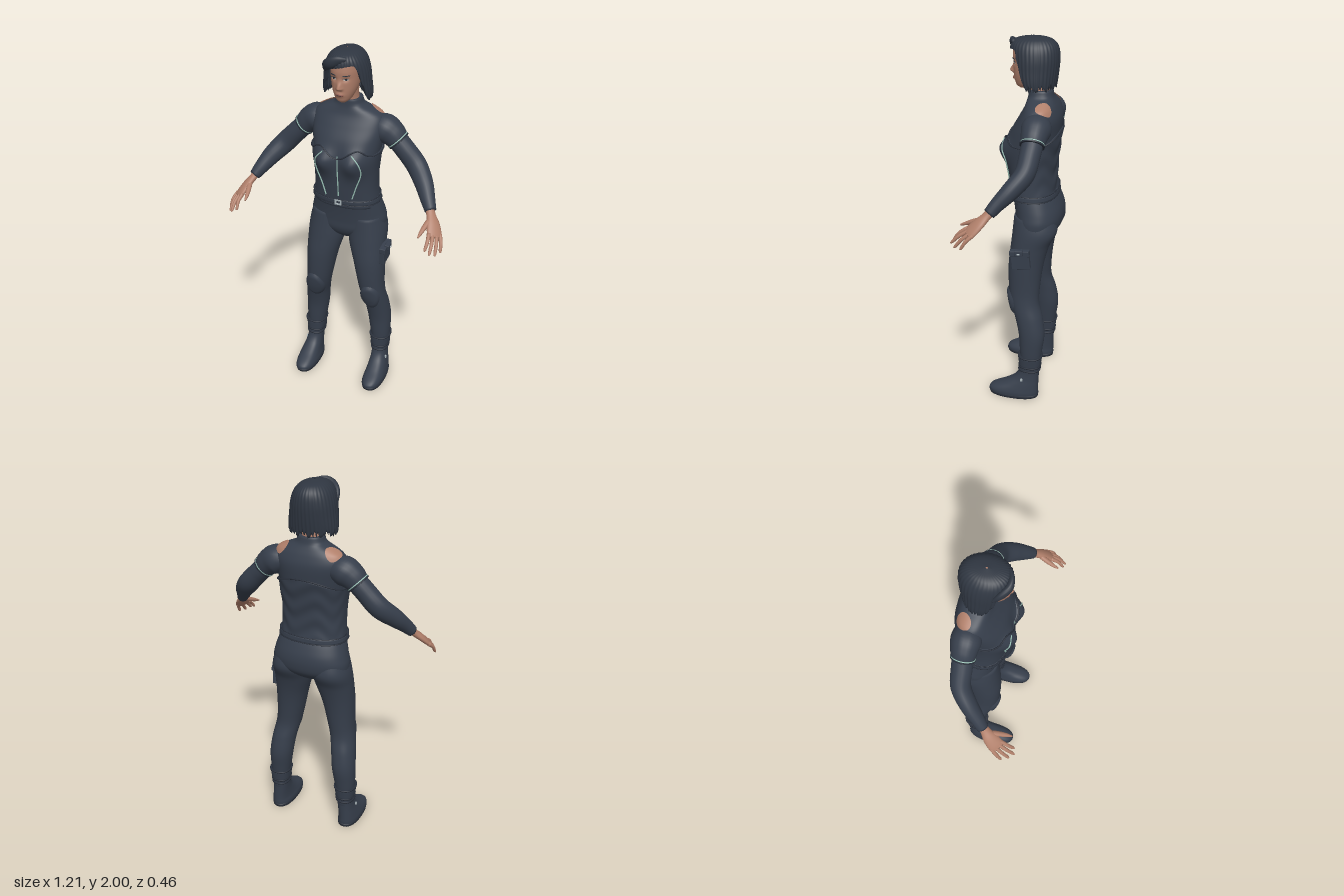
import * as THREE from 'three';
import { RoundedBoxGeometry } from 'three/addons/geometries/RoundedBoxGeometry.js';

const V = (x, y, z) => new THREE.Vector3(x, y, z);
const material = (name, color, side = THREE.DoubleSide) => {
  const m = new THREE.MeshStandardMaterial({ color, side });
  m.name = name;
  return m;
};

// Smooth interpolation through rows keyed by their first number
function sample(rows, t) {
  const last = rows.length - 1;
  t = Math.min(Math.max(t, rows[0][0]), rows[last][0]);
  let i = 0;
  while (i < last - 1 && t > rows[i + 1][0]) i++;
  const h = rows[i + 1][0] - rows[i][0], s = (t - rows[i][0]) / h;
  const slope = (k, c) => {
    const a = rows[Math.max(k - 1, 0)], b = rows[Math.min(k + 1, last)];
    return (b[c] - a[c]) / (b[0] - a[0]);
  };
  return rows[i].slice(1).map((p, k) => {
    const q = rows[i + 1][k + 1], s2 = s * s, s3 = s2 * s;
    return (2 * s3 - 3 * s2 + 1) * p + (s3 - 2 * s2 + s) * h * slope(i, k + 1)
      + (3 * s2 - 2 * s3) * q + (s3 - s2) * h * slope(i + 1, k + 1);
  });
}

// Grid closed around u; v runs from 0 to nv
function grid(nu, nv, fn) {
  const pos = [], idx = [];
  for (let j = 0; j <= nv; j++) for (let i = 0; i < nu; i++) {
    const p = fn((i / nu) * Math.PI * 2, j);
    pos.push(p.x, p.y, p.z);
    if (j === nv) continue;
    const a = j * nu + i, b = j * nu + (i + 1) % nu;
    idx.push(a, b, b + nu, a, b + nu, a + nu);
  }
  const g = new THREE.BufferGeometry();
  g.setAttribute('position', new THREE.Float32BufferAttribute(pos, 3));
  g.setIndex(idx);
  g.computeVertexNormals();
  return g;
}

// Body surface from rows [y, x0, x1, zFront, zBack]; angle 0 is the front
function surface(rows, e = 1, bump = null) {
  const pw = v => Math.sign(v) * Math.abs(v) ** e;
  const f = (y, th, off = 0) => {
    const [x0, x1, zf, zb] = sample(rows, y), c = Math.cos(th);
    const x = (x0 + x1) / 2 + ((x1 - x0) / 2 + off) * pw(Math.sin(th));
    let z = (zf + zb) / 2 + ((zf - zb) / 2 + off) * pw(c);
    if (bump) z += bump(x, y) * Math.min(1, Math.max(0, c * 3));
    return V(x, y, z);
  };
  f.theta = (x, y) => {
    const [x0, x1] = sample(rows, y);
    const q = Math.min(1, Math.max(-1, (x - (x0 + x1) / 2) / ((x1 - x0) / 2)));
    return Math.asin(Math.sign(q) * Math.abs(q) ** (1 / e));
  };
  return f;
}
const centred = rows => rows.map(([y, r, f, b]) => [y, -r, r, f, b]);

// Capped solid between two heights of a surface
function solid(f, y0, y1, nu = 40, nv = 30, off = 0) {
  return grid(nu, nv + 4, (th, j) => {
    const k = Math.min(Math.max(j - 2, 0), nv), y = y0 + ((y1 - y0) * k) / nv;
    const edge = Math.min(j, nv + 4 - j), p = f(y, th, off);
    const mid = f(y, 0).add(f(y, Math.PI)).multiplyScalar(0.5);
    return mid.lerp(p, edge === 0 ? 0 : edge === 1 ? 0.95 : 1);
  });
}

// Thin oval plate lying on the front of a surface
function patch(f, x, y, rx, ry, off) {
  return grid(28, 8, (a, j) => {
    const r = 1 - j / 8, X = x + rx * r * Math.cos(a), Y = y + ry * r * Math.sin(a);
    return f(Y, f.theta(X, Y), 0.0015 + off * Math.min(1, (1 - r) * 5));
  });
}

// Oval limb along rows [x, y, z, wide radius, thin radius]
function limb(rows, wide = V(0, 0, 1), nu = 20, per = 6) {
  const keyed = rows.map((r, i) => [i, ...r]), end = rows.length - 1, nv = end * per;
  const at = t => V(...sample(keyed, t).slice(0, 3));
  return grid(nu, nv + 2, (th, j) => {
    const t = (Math.min(Math.max(j - 1, 0), nv) / nv) * end;
    const [x, y, z, ra, rb] = sample(keyed, t), cap = j === 0 || j === nv + 2 ? 0 : 1;
    const T = at(Math.min(t + 0.05, end)).sub(at(Math.max(t - 0.05, 0))).normalize();
    const A = wide.clone().addScaledVector(T, -wide.dot(T)).normalize(), B = T.clone().cross(A);
    return V(x, y, z).addScaledVector(A, ra * Math.cos(th) * cap).addScaledVector(B, rb * Math.sin(th) * cap);
  });
}

function mirror(g) {
  const m = g.clone(), a = m.index.array;
  m.scale(-1, 1, 1);
  for (let i = 0; i < a.length; i += 3) [a[i], a[i + 1]] = [a[i + 1], a[i]];
  return m;
}

export function createModel() {
  const root = new THREE.Group();
  const cloth = material('slate cloth', 0x363e4b), seam = material('dark seam', 0x2a303b);
  const hairMat = material('dark hair', 0x2f3641), skin = material('skin', 0xb07f6a);
  const lip = material('lips', 0x935e51), white = material('eye white', 0xc9beb5);
  const trim = material('pale green trim', 0x9cc4b8), metal = material('buckle metal', 0xa9b4b8);
  const add = (name, g, m) => {
    const mesh = new THREE.Mesh(g, m);
    mesh.name = name;
    root.add(mesh);
    return mesh;
  };
  const pair = (name, g, m) => { add(name + 'Left', g, m); add(name + 'Right', mirror(g), m); };
  const gauss = (d, w) => Math.exp(-(d * d) / (w * w));

  // Torso with high collar
  const torsoRows = centred([[1.15, 0.178, 0.04, -0.19], [1.2, 0.172, 0.045, -0.185], [1.27, 0.166, 0.052, -0.18],
    [1.36, 0.168, 0.058, -0.183], [1.45, 0.178, 0.06, -0.193], [1.53, 0.188, 0.045, -0.203], [1.6, 0.195, 0.008, -0.205],
    [1.65, 0.18, -0.02, -0.19], [1.68, 0.132, -0.03, -0.175], [1.7, 0.082, -0.034, -0.165], [1.735, 0.066, -0.036, -0.158]]);
  const torso = surface(torsoRows, 0.86,
    (x, y) => 0.045 * gauss(Math.abs(x) - 0.085, 0.06) * gauss(y - 1.43, y > 1.43 ? 0.06 : 0.075));
  add('torso', solid(torso, 1.15, 1.735, 64, 60), cloth);

  // Corset with a sweetheart top edge and gathered back
  const corsetTop = th => {
    const a = Math.abs(Math.atan2(Math.sin(th), Math.cos(th)));
    return 1.47 + 0.035 * gauss(a - 0.5, 0.3) - 0.02 * gauss(a, 0.2) + 0.06 * gauss(a - Math.PI, 0.9);
  };
  add('corset', grid(96, 32, (th, j) => {
    const y = 1.2 + (corsetTop(th) - 1.2) * Math.min(1, j / 30), back = Math.max(0, -Math.cos(th));
    return torso(y, th, j > 30 ? 0.008 - 0.006 * (j - 30) : 0.007 + 0.003 * back * Math.sin(y * 60 + Math.sin(th * 5) * 2));
  }), cloth);
  const piping = (name, g2, r, m, closed = false) =>
    add(name, new THREE.TubeGeometry(new THREE.CatmullRomCurve3(g2, closed), closed ? 96 : 40, r, 6, closed), m);
  piping('corsetEdge', Array.from({ length: 48 }, (_, i) => {
    const th = (i / 48) * Math.PI * 2;
    return torso(corsetTop(th), th, 0.009);
  }), 0.004, seam, true);
  const onTorso = ([x, y]) => torso(y, torso.theta(x, y), 0.01);
  piping('frontZip', [[0, 1.23], [0, 1.3], [0, 1.38], [0, 1.465]].map(onTorso), 0.0035, trim);
  for (const s of [-1, 1]) {
    piping('corsetSeam', [[0.07, 1.22], [0.09, 1.29], [0.118, 1.38], [0.112, 1.44], [0.075, 1.485]]
      .map(([x, y]) => onTorso([s * x, y])), 0.0035, trim);
  }

  // Belt and buckle
  add('belt', solid(torso, 1.178, 1.205, 64, 4, 0.014), cloth);
  for (const y of [1.177, 1.207]) piping('beltEdge',
    Array.from({ length: 40 }, (_, i) => torso(y, (i / 40) * Math.PI * 2, 0.013)), 0.003, seam, true);
  const frame = new THREE.Shape([[-0.019, -0.015], [0.019, -0.015], [0.019, 0.015], [-0.019, 0.015]].map(p => new THREE.Vector2(...p)));
  frame.holes.push(new THREE.Path([[-0.011, -0.008], [-0.011, 0.008], [0.011, 0.008], [0.011, -0.008]].map(p => new THREE.Vector2(...p))));
  add('buckle', new THREE.ExtrudeGeometry(frame, { depth: 0.006, bevelEnabled: false }), metal).position.set(0, 1.192, 0.058);

  // Hips and legs
  const hips = surface(centred([[0.93, 0.05, -0.03, -0.13], [0.96, 0.12, 0.0, -0.175], [1.0, 0.2, 0.018, -0.215],
    [1.05, 0.213, 0.022, -0.228], [1.1, 0.203, 0.028, -0.225], [1.15, 0.189, 0.036, -0.208], [1.19, 0.177, 0.044, -0.19]]), 0.9);
  add('hips', solid(hips, 0.93, 1.19, 56, 26), cloth);
  const leg = surface([[0.15, 0.165, 0.25, -0.045, -0.145], [0.22, 0.158, 0.255, -0.042, -0.15], [0.3, 0.145, 0.26, -0.036, -0.16],
    [0.4, 0.13, 0.26, -0.028, -0.17], [0.5, 0.117, 0.25, -0.005, -0.155], [0.58, 0.1, 0.237, 0.022, -0.133],
    [0.65, 0.085, 0.23, 0.034, -0.132], [0.8, 0.052, 0.228, 0.04, -0.148], [0.92, 0.018, 0.225, 0.03, -0.178],
    [1, 0.01, 0.22, 0.022, -0.215], [1.08, 0.02, 0.2, 0.015, -0.2]], 0.93);
  pair('leg', solid(leg, 0.15, 1.08, 40, 60), cloth);
  pair('kneePad', patch(leg, 0.168, 0.585, 0.056, 0.085, 0.011), cloth);

  // Boots with flared cuffs, straps and soles
  const boot = surface([[0, 0.155, 0.272, 0.134, -0.138], [0.03, 0.154, 0.275, 0.14, -0.142], [0.05, 0.158, 0.272, 0.118, -0.142],
    [0.08, 0.162, 0.265, 0.055, -0.142], [0.12, 0.164, 0.256, -0.005, -0.143], [0.17, 0.162, 0.252, -0.033, -0.146],
    [0.27, 0.15, 0.262, -0.032, -0.158]], 0.85);
  pair('boot', solid(boot, 0, 0.25, 44, 40), cloth);
  pair('sole', solid(boot, 0, 0.018, 44, 3, 0.003), seam);
  pair('bootCuff', solid(boot, 0.205, 0.262, 36, 6, 0.004), cloth);
  for (const y of [0.175, 0.198, 0.262]) pair('bootBand', solid(boot, y, y + 0.008, 36, 2, 0.007), seam);
  for (const s of [-1, 1]) add('bootBuckle', new THREE.BoxGeometry(0.008, 0.016, 0.012), metal).position.set(s * 0.256, 0.12, -0.055);

  // Thigh pocket on the left leg
  const pocket = new THREE.Group();
  pocket.name = 'thighPocket';
  [[0.028, 0.1, 0.1, 0, 0, cloth], [0.036, 0.032, 0.106, 0.003, 0.042, cloth], [0.026, 0.03, 0.045, 0.02, 0.05, cloth],
    [0.008, 0.01, 0.016, 0.034, 0.048, metal]].forEach(([w, h, d, x, y, m]) => {
    const b = new THREE.Mesh(new RoundedBoxGeometry(w, h, d, 2, 0.004), m);
    b.position.set(x, y, 0);
    b.name = 'pocketPart';
    pocket.add(b);
  });
  pocket.position.set(0.232, 0.87, -0.045);
  pocket.rotation.x = 0.1;
  root.add(pocket);

  // Arms: short outer sleeve, trim and long inner sleeve
  pair('outerSleeve', limb([[0.12, 1.59, -0.115, 0.06, 0.055], [0.185, 1.58, -0.115, 0.076, 0.076],
    [0.228, 1.558, -0.114, 0.068, 0.07], [0.262, 1.526, -0.112, 0.06, 0.059]]), cloth);
  pair('sleeveTrim', limb([[0.258, 1.53, -0.112, 0.062, 0.061], [0.262, 1.526, -0.112, 0.062, 0.061]]), trim);
  pair('sleeveHem', limb([[0.262, 1.526, -0.112, 0.063, 0.062], [0.268, 1.52, -0.112, 0.062, 0.061]]), seam);
  pair('innerSleeve', limb([[0.24, 1.545, -0.113, 0.054, 0.054], [0.3, 1.485, -0.109, 0.053, 0.054], [0.37, 1.41, -0.098, 0.05, 0.056],
    [0.43, 1.345, -0.045, 0.045, 0.05], [0.472, 1.287, 0.01, 0.036, 0.039], [0.5, 1.245, 0.045, 0.03, 0.03]]), cloth);

  // Hands
  const across = V(0.75, -0.25, -0.6).normalize();
  pair('palm', limb([[0.488, 1.262, 0.03, 0.024, 0.021], [0.507, 1.232, 0.058, 0.025, 0.019], [0.53, 1.2, 0.09, 0.036, 0.018],
    [0.548, 1.168, 0.122, 0.041, 0.015], [0.557, 1.152, 0.14, 0.036, 0.01]], across), skin);
  [[-0.031, 0.53, 1.11, 0.218], [-0.01, 0.557, 1.098, 0.226], [0.011, 0.58, 1.086, 0.203], [0.031, 0.598, 1.088, 0.166]]
    .forEach(([o, x, y, z]) => {
      const a = V(0.55, 1.165, 0.126).addScaledVector(across, o), b = V(x, y, z), m = a.clone().lerp(b, 0.5).add(V(0.004, 0.006, 0.002));
      pair('finger', limb([[...a, 0.0105, 0.011], [...m, 0.0095, 0.009], [...a.clone().lerp(b, 0.88), 0.008, 0.007],
        [...b, 0.003, 0.003]], across, 10, 4), skin);
    });
  pair('thumb', limb([[0.512, 1.22, 0.075, 0.014, 0.013], [0.5, 1.2, 0.12, 0.014, 0.012], [0.49, 1.18, 0.162, 0.0105, 0.0095],
    [0.485, 1.166, 0.194, 0.004, 0.004]], V(1, 0, 0), 12, 5), skin);

  // Bare shoulder openings, dropped onto the torso from above
  const dropY = (x, z) => {
    let lo = 1.6, hi = 1.72;
    for (let i = 0; i < 24; i++) {
      const y = (lo + hi) / 2, [, rx, zf, zb] = sample(torsoRows, y);
      const q = Math.abs(x / rx) ** 2.33 + Math.abs((z - (zf + zb) / 2) / ((zf - zb) / 2)) ** 2.33;
      if (q < 1) lo = y; else hi = y;
    }
    return lo;
  };
  pair('shoulderOpening', grid(28, 8, (a, j) => {
    const r = 1 - j / 8, p = 0.038 * r * Math.cos(a), q = -0.036 * r * Math.sin(a);
    const x = 0.14 + p, z = -0.138 + q + p * 0.35;
    return V(x, dropY(x, z) + 0.006, z);
  }), skin);

  // Neck, head and face
  add('neck', solid(surface(centred([[1.7, 0.058, -0.04, -0.15], [1.74, 0.05, -0.035, -0.145], [1.8, 0.052, -0.02, -0.14]])), 1.7, 1.8), skin);
  const head = surface(centred([[1.738, 0.018, 0.012, -0.04], [1.75, 0.034, 0.028, -0.07], [1.77, 0.047, 0.035, -0.09],
    [1.8, 0.06, 0.04, -0.115], [1.83, 0.068, 0.042, -0.135], [1.87, 0.073, 0.044, -0.15], [1.91, 0.074, 0.047, -0.155],
    [1.95, 0.068, 0.037, -0.15], [1.98, 0.045, 0.0, -0.12]]), 0.92, (x, y) => 0.022 * gauss(x, 0.012) * gauss(y - 1.823, y > 1.823 ? 0.026 : 0.009)
    + 0.006 * gauss(Math.abs(x) - 0.011, 0.007) * gauss(y - 1.819, 0.008)
    + 0.007 * gauss(x, 0.022) * gauss(y - 1.786, 0.012) - 0.008 * gauss(Math.abs(x) - 0.03, 0.015) * gauss(y - 1.868, 0.012));
  add('head', solid(head, 1.738, 1.98, 96, 70), skin);
  add('lips', patch(head, 0, 1.786, 0.021, 0.008, 0.002), lip);
  add('mouthLine', patch(head, 0, 1.7865, 0.019, 0.001, 0.003), seam);
  pair('eye', patch(head, 0.031, 1.867, 0.013, 0.0055, 0.0015), white);
  pair('iris', patch(head, 0.031, 1.867, 0.0055, 0.005, 0.003), seam);
  pair('eyelid', patch(head, 0.031, 1.8725, 0.015, 0.0018, 0.003), seam);
  pair('brow', patch(head, 0.033, 1.889, 0.018, 0.0028, 0.002), hairMat);

  // Bobbed hair: ridged shell with ragged ends and a turned-in edge
  const hair = surface(centred([[1.72, 0.122, 0.0, -0.168], [1.78, 0.127, 0.03, -0.178], [1.84, 0.121, 0.048, -0.186],
    [1.9, 0.113, 0.056, -0.19], [1.95, 0.097, 0.058, -0.183], [1.98, 0.073, 0.04, -0.16], [1.994, 0.045, 0.0, -0.125], [2, 0.004, -0.055, -0.065]]));
  const ragged = th => Math.abs(Math.sin(th * 19) * 0.6 + Math.sin(th * 31 + 1) * 0.4);
  const hairEdge = th => {
    const t = Math.atan2(Math.sin(th), Math.cos(th)), a = Math.abs(t);
    const side = THREE.MathUtils.smoothstep(a, 0.72, 1.25);
    return (1.93 + 0.012 * Math.sin(t * 2)) * (1 - side) + (1.738 + 0.04 * ragged(th)) * side;
  };
  add('hair', grid(144, 40, (th, j) => {
    const e = hairEdge(th), v = Math.max(0, j - 4) / 36, y = e + (2 - e) * (1 - (1 - v) ** 2);
    const ridge = 0.0025 * Math.sin(th * 37) * (1 - v);
    return j < 4 ? hair(e + 0.03 * (1 - j / 4), th, -0.022 * (1 - j / 4)) : hair(y, th, ridge);
  }), hairMat);
  add('fringe', limb([[0.035, 1.972, 0.035, 0.01, 0.01], [-0.005, 1.966, 0.052, 0.024, 0.014], [-0.045, 1.948, 0.05, 0.028, 0.02],
    [-0.08, 1.922, 0.022, 0.024, 0.016], [-0.098, 1.885, -0.01, 0.008, 0.006]], V(0, 1, 0.2)), hairMat);
  return root;
}
